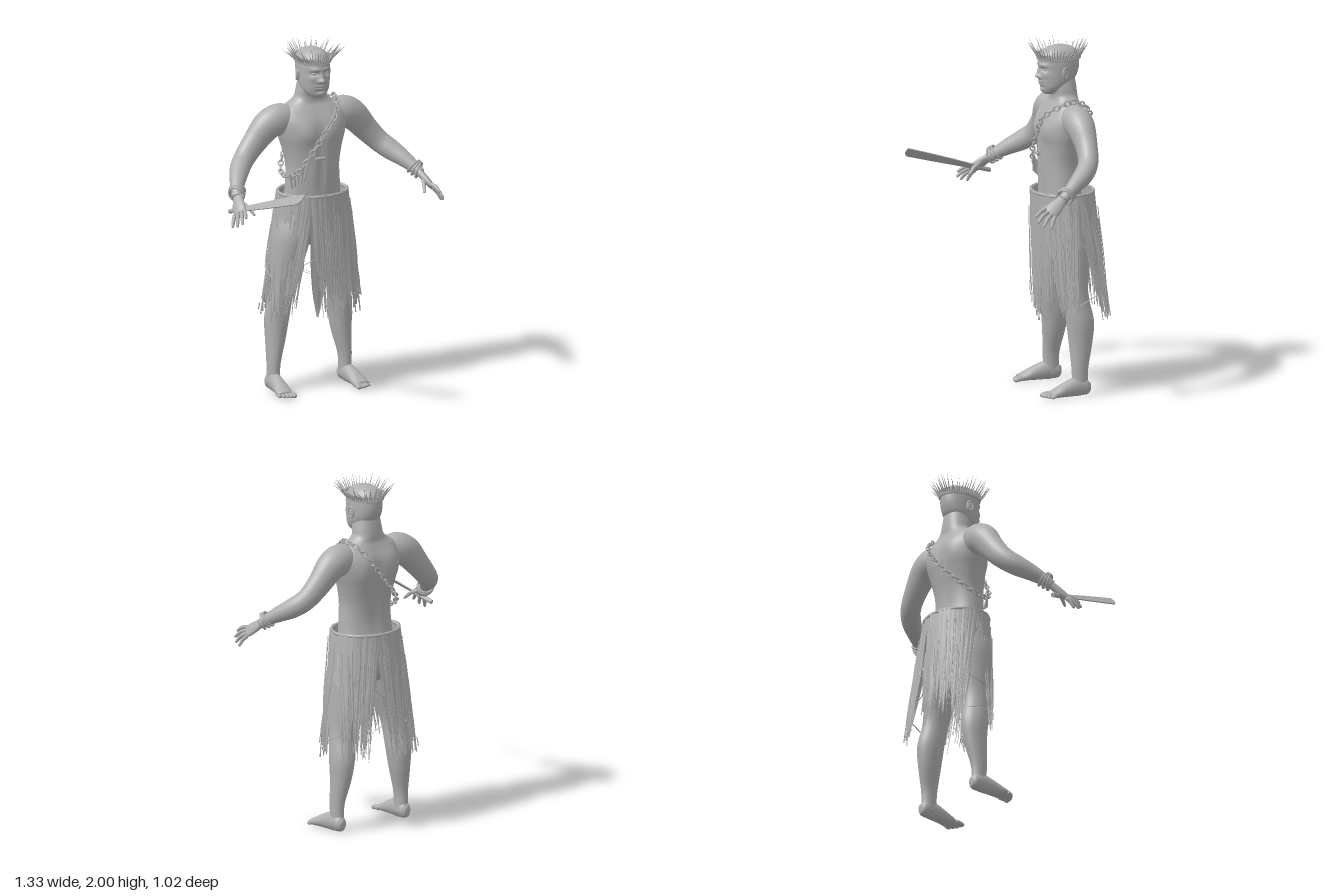
import * as THREE from 'three';
import { mergeGeometries } from 'three/addons/utils/BufferGeometryUtils.js';

const V = (x, y, z) => new THREE.Vector3(x, y, z);
const clay = new THREE.MeshStandardMaterial({ color: 0xb0b0b0, side: THREE.DoubleSide });
clay.name = 'clay grey';

let seed = 7;
const rnd = () => ((seed = (seed * 16807) % 2147483647) / 2147483647);
const range = (a, b) => a + (b - a) * rnd();

function mesh(name, geometry) {
  const m = new THREE.Mesh(geometry, clay);
  m.name = name;
  return m;
}

// Surface through rows of points
function grid(rows, closed) {
  const n = rows[0].length, pos = [], index = [];
  rows.forEach(r => r.forEach(p => pos.push(p.x, p.y, p.z)));
  for (let i = 0; i < rows.length - 1; i++)
    for (let j = 0; j < (closed ? n : n - 1); j++) {
      const a = i * n + j, b = i * n + ((j + 1) % n);
      index.push(a, b, a + n, b, b + n, a + n);
    }
  const g = new THREE.BufferGeometry();
  g.setAttribute('position', new THREE.Float32BufferAttribute(pos, 3));
  g.setIndex(index);
  g.computeVertexNormals();
  return g;
}

// Smooth body through stations [x, y, z, radiusA, radiusB]; radiusA lies along ref
function loft(st, ref, { seg = 24, rad = 16, axis = null, pow = 1, bump = null } = {}) {
  const path = new THREE.CatmullRomCurve3(st.map(s => V(s[0], s[1], s[2])), false, 'catmullrom');
  const size = new THREE.CatmullRomCurve3(st.map(s => V(s[3], s[4], 0)), false, 'catmullrom');
  const sp = v => Math.sign(v) * Math.abs(v) ** pow;
  const rows = [];
  for (let i = 0; i <= seg; i++) {
    const c = path.getPoint(i / seg), r = size.getPoint(i / seg);
    const t = axis ? axis.clone() : path.getTangent(i / seg);
    const a = ref.clone().addScaledVector(t, -ref.dot(t)).normalize();
    const b = t.clone().cross(a);
    const row = [];
    for (let j = 0; j < rad; j++) {
      const th = (j / rad) * Math.PI * 2;
      const p = c.clone().addScaledVector(a, r.x * sp(Math.cos(th))).addScaledVector(b, r.y * sp(Math.sin(th)));
      if (bump) bump(p, c);
      row.push(p);
    }
    if (i === 0) rows.push(row.map(() => c.clone()));
    rows.push(row);
    if (i === seg) rows.push(row.map(() => c.clone()));
  }
  return grid(rows, true);
}

const X = V(1, 0, 0), Y = V(0, 1, 0);
const bell = (x, y, cx, cy, wx, wy) => Math.exp(-(((x - cx) / wx) ** 2) - ((y - cy) / wy) ** 2);

function aim(geo, from, dir) { // lay a y-aligned geometry along dir
  geo.applyQuaternion(new THREE.Quaternion().setFromUnitVectors(Y, dir.clone().normalize()));
  return geo.translate(from.x, from.y, from.z);
}

function torso() {
  const st = [[.84, -.265, .09, .07], [.9, -.265, .165, .12], [1, -.265, .182, .13], [1.1, -.255, .168, .112],
    [1.2, -.248, .16, .105], [1.3, -.25, .157, .11], [1.4, -.258, .176, .122], [1.48, -.263, .2, .128],
    [1.56, -.268, .21, .118], [1.62, -.272, .185, .09], [1.655, -.275, .13, .074], [1.685, -.275, .093, .073],
    [1.73, -.268, .083, .076], [1.8, -.262, .07, .072]].map(([y, z, rx, rz]) => [0, y, z, rx, rz]);
  const bump = (p, c) => {
    const x = Math.abs(p.x), f = THREE.MathUtils.clamp((p.z - c.z) / .06, -1, 1);
    if (f > 0) // chest, breastbone, belly
      p.z += f * (.016 * bell(x, p.y, .085, 1.5, .06, .065) - .008 * bell(x, p.y, 0, 1.48, .018, .1)
        + .006 * bell(x, p.y, .04, 1.27, .03, .1) - .006 * bell(x, p.y, 0, 1.25, .01, .1));
    else // shoulder blades and spine
      p.z += f * (.012 * bell(x, p.y, .1, 1.52, .05, .09) - .014 * bell(x, p.y, 0, 1.38, .025, .2));
  };
  return mesh('torso', loft(st, X, { seg: 70, rad: 56, axis: Y, pow: .88, bump }));
}

function head() {
  const g = new THREE.Group();
  g.name = 'head';
  const st = [[1.695, -.19, .033, .032], [1.71, -.2, .055, .053], [1.74, -.213, .075, .074], [1.78, -.235, .085, .103],
    [1.83, -.245, .088, .115], [1.88, -.247, .088, .117], [1.92, -.25, .082, .108], [1.95, -.25, .06, .08],
    [1.967, -.25, .022, .03]].map(([y, z, rx, rz]) => [0, y, z, rx, rz]);
  const bump = (p, c) => {
    if (p.z < c.z + .01) return;
    const x = Math.abs(p.x), y = p.y;
    p.z += .022 * bell(x, y, 0, 1.797, .017, .014) + .013 * bell(x, y, 0, 1.825, .01, .025)
      + .006 * bell(x, y, .022, 1.793, .01, .01) - .013 * bell(x, y, .036, 1.838, .02, .012)
      + .007 * bell(x, y, .035, 1.863, .03, .01) + .009 * bell(x, y, 0, 1.767, .028, .006)
      + .008 * bell(x, y, 0, 1.751, .024, .006) + .007 * bell(x, y, 0, 1.718, .025, .012)
      - .005 * bell(x, y, 0, 1.735, .03, .006) + .006 * bell(x, y, .055, 1.81, .02, .02);
  };
  g.add(mesh('skull', loft(st, X, { seg: 90, rad: 90, axis: Y, pow: .94, bump })));
  for (const s of [-1, 1]) {
    const eye = mesh('eye', new THREE.SphereGeometry(.012, 14, 10).scale(1.2, .7, .8));
    eye.position.set(s * .036, 1.838, -.153);
    const ear = mesh('ear', new THREE.SphereGeometry(.03, 14, 10).scale(.35, 1.1, .65));
    ear.position.set(s * .09, 1.82, -.25);
    ear.rotation.y = s * .35;
    const rim = mesh('earRim', new THREE.TorusGeometry(.022, .005, 6, 18).scale(.75, 1.3, 1));
    rim.position.set(s * .098, 1.822, -.25);
    rim.rotation.y = Math.PI / 2 + s * .35;
    g.add(eye, ear, rim);
  }
  return g;
}

function crown() {
  const parts = [], n = 54;
  for (let i = 0; i < n; i++) {
    const a = (i / n) * Math.PI * 2, c = Math.cos(a), s = Math.sin(a);
    const base = V(.094 * c, 1.9, -.247 + .122 * s), len = range(.06, .115);
    const dir = V(c * range(.5, 1.05), range(.75, 1.1), s * range(.35, .8)).normalize();
    parts.push(aim(new THREE.ConeGeometry(.0045, len, 5).translate(0, len / 2, 0), base, dir));
    parts.push(aim(new THREE.CylinderGeometry(.005, .005, .03, 6), base.clone().add(V(.003 * c, .008, .003 * s)), V(c * .2, 1, s * .2)));
  }
  for (const y of [1.892, 1.903])
    parts.push(new THREE.TorusGeometry(1, .055, 6, 48).rotateX(Math.PI / 2).scale(.092, .1, .121).translate(0, y, -.247));
  return mesh('spikedCrown', mergeGeometries(parts));
}

function arm(s) {
  const g = new THREE.Group();
  g.name = s > 0 ? 'leftArm' : 'rightArm';
  const S = list => list.map(([x, ...rest]) => [s * x, ...rest]);
  const line = (name, st, ref, o) => g.add(mesh(name, loft(S(st), V(s * ref[0], ref[1], ref[2]), o)));
  line('armBody', [[.1, 1.575, -.272, .06, .06], [.19, 1.568, -.275, .08, .09], [.265, 1.54, -.28, .078, .086],
    [.345, 1.455, -.28, .062, .072], [.42, 1.375, -.262, .056, .062], [.475, 1.325, -.215, .055, .058],
    [.525, 1.28, -.145, .044, .046], [.562, 1.238, -.082, .031, .033], [.578, 1.212, -.05, .03, .028]],
  [0, 0, 1], { seg: 44, rad: 24 });
  const wide = [.5, -.5, -.6];
  line('palm', [[.566, 1.232, -.07, .025, .02], [.58, 1.205, -.035, .032, .021], [.595, 1.175, .005, .042, .02],
    [.606, 1.153, .036, .04, .015], [.609, 1.147, .044, .025, .008]], wide, { seg: 16 });
  // knuckle to tip
  const fingers = [[[.588, 1.172, .052], [.612, 1.138, .126]], [[.602, 1.158, .046], [.632, 1.105, .122]],
    [[.616, 1.145, .034], [.649, 1.083, .092]], [[.627, 1.133, .016], [.658, 1.072, .05]],
    [[.572, 1.195, -.005], [.535, 1.135, .083]]];
  fingers.forEach(([a, b], i) => {
    const m = a.map((v, k) => (v + b[k]) / 2);
    m[1] += .01;
    line(i < 4 ? 'finger' : 'thumb', [[...a, .011, .011], [...m, .011, .011],
      [...b.map((v, k) => v * .85 + m[k] * .15), .008, .008], [...b, .003, .003]], wide, { seg: 10, rad: 8 });
  });
  for (let i = 0; i < 3; i++) { // bangles
    const ring = mesh('bracelet', new THREE.TorusGeometry(.044, .006, 8, 28));
    ring.position.set(s * (.556 + i * .009), 1.246 - i * .009, -.09 + i * .014);
    ring.lookAt(ring.position.clone().add(V(s * (.5 + .15 * i), -.75 + .2 * i, .75)));
    g.add(ring);
  }
  return g;
}

function leg(s) {
  const g = new THREE.Group();
  g.name = s > 0 ? 'leftLeg' : 'rightLeg';
  const add = (name, st, o) => g.add(mesh(name, loft(st.map(([x, ...r]) => [s * x, ...r]), X, o)));
  add('legBody', [[.227, .03, -.29, .036, .05], [.226, .09, -.287, .035, .046], [.223, .17, -.288, .039, .05],
    [.207, .3, -.298, .056, .068], [.198, .42, -.298, .068, .08], [.185, .54, -.278, .066, .077], [.172, .62, -.27, .073, .082],
    [.15, .74, -.268, .092, .102], [.125, .9, -.26, .108, .122], [.105, 1.04, -.262, .09, .11]], { seg: 50, rad: 26, axis: Y });
  add('foot', [[.228, .045, -.346, .018, .026], [.228, .046, -.325, .034, .043], [.229, .055, -.275, .038, .055],
    [.234, .043, -.2, .042, .043], [.239, .028, -.14, .048, .027], [.241, .019, -.1, .045, .017]], { seg: 26, rad: 20 });
  for (let i = 0; i < 5; i++) {
    const x = .203 + i * .0195, r = i ? .0105 : .014, tip = -.06 - i * i * .0022;
    add('toe', [[x, .02, -.12, r, r], [x, .02, tip - .03, r, r], [x, .014, tip - .008, r, r * .9], [x, .011, tip, r * .5, r * .5]],
      { seg: 10, rad: 10 });
  }
  return g;
}

function skirt() {
  const g = new THREE.Group();
  g.name = 'strawSkirt';
  const gaps = [[-.1, .38], [Math.PI + .1, .38], [1.95, .3], [-1.35, .22]]; // angle and how far strands part
  const point = (a, y, t, k) => {
    let b = a;
    for (const [at, push] of gaps) {
      const d = Math.atan2(Math.sin(a - at), Math.cos(a - at));
      b += Math.sign(d) * push * t * Math.exp(-((d / .45) ** 2));
    }
    const f = (1.14 - y) / .7;
    return V(.008 + .012 * f + (.203 + .08 * f) * k * Math.cos(b), y, -.265 - .045 * f + (.172 + .022 * f) * k * Math.sin(b));
  };
  const strand = (a, w, top, end, k) => {
    const rows = [], ph = range(0, 6), amp = range(.01, .05), n = 12;
    for (let i = 0; i <= n; i++) {
      const t = i / n, y = top + (end - top) * t;
      const q = (1.14 - y) / .7, half = (w / .2) * (1 - .8 * t ** 2.5) / 2;
      const kk = k + .025 * Math.sin(t * 7 + ph) * t;
      const c = amp * Math.sin(t * 6 + ph) * t;
      rows.push([-1, 0, 1].map(j => { // parting is taken at the strand's centre so it keeps its width
        const p = point(a + c, y, q, kk + (j ? 0 : .025));
        const side = point(a + c + .02, y, q, kk).sub(point(a + c - .02, y, q, kk)).normalize();
        return p.addScaledVector(side, j * half * .2);
      }));
    }
    return grid(rows, false);
  };
  const wide = [], thin = [], n = 130;
  for (let i = 0; i < n; i++) {
    const a = (i / n) * Math.PI * 2;
    wide.push(strand(a, range(.02, .034), 1.145, range(.44, .66), range(.95, 1.02)));
    thin.push(strand(a + range(-.03, .03), range(.005, .01), range(.85, 1.1), range(.41, .55), range(.97, 1.07)));
  }
  g.add(mesh('broadStrands', mergeGeometries(wide)), mesh('thinStrands', mergeGeometries(thin)));
  g.add(mesh('waistRoll', new THREE.TorusGeometry(1, .05, 8, 64).rotateX(Math.PI / 2).scale(.2, .2, .17).translate(.008, 1.137, -.265)));
  // pointed front cloth
  const cloth = [];
  for (let i = 0; i <= 12; i++) {
    const t = i / 12, w = .05 * (1 - t ** 4) + .004;
    cloth.push([1, .5, 0, -.5, -1].map(j => V(-.02 + j * w, 1.08 - .65 * t, -.125 - .02 * t + .008 * Math.cos(j * 5))));
  }
  g.add(mesh('frontCloth', grid(cloth.map(r => r.reverse()).reverse(), false)));
  return g;
}

function chain() {
  const g = new THREE.Group();
  g.name = 'shoulderChain';
  const path = new THREE.CatmullRomCurve3([V(.15, 1.665, -.275), V(.12, 1.63, -.36), V(.07, 1.55, -.41), V(-.04, 1.42, -.405),
    V(-.13, 1.32, -.365), V(-.178, 1.25, -.27), V(-.15, 1.26, -.165), V(-.08, 1.37, -.122), V(0, 1.48, -.117),
    V(.08, 1.58, -.128), V(.13, 1.64, -.2)], true);
  const n = Math.round(path.getLength() / .033), parts = [];
  for (let i = 0; i < n; i++) {
    const p = path.getPointAt(i / n), t = path.getTangentAt(i / n);
    const side = t.clone().cross(p.clone().sub(V(0, p.y, -.265))).normalize();
    const m = new THREE.Matrix4().makeBasis(t, side, t.clone().cross(side)).setPosition(p);
    parts.push(new THREE.TorusGeometry(.0135, .0045, 6, 14).scale(1.4, 1, 1).rotateX((i % 2) * Math.PI / 2).applyMatrix4(m));
  }
  g.add(mesh('links', mergeGeometries(parts)));
  // charms hanging from the chain
  const rod = (name, r, len, from, dir) => g.add(mesh(name, aim(new THREE.CylinderGeometry(r, r, len, 8), from, dir)));
  rod('charmBar', .01, .06, V(-.015, 1.352, -.122), X);
  rod('charmCord', .003, .1, V(0, 1.405, -.12), Y);
  for (let i = 0; i < 5; i++) rod('tassel', .006, .09, V(-.165 + i * .016, 1.225 + i * .012, -.19 + i * .014), V(.1 * (i - 2), 1, .1));
  return g;
}

function machete() {
  const g = new THREE.Group();
  g.name = 'machete';
  const sh = new THREE.Shape();
  sh.moveTo(0, -.016);
  sh.quadraticCurveTo(.25, -.03, .46, -.034);
  sh.quadraticCurveTo(.5, -.03, .505, .03);
  sh.quadraticCurveTo(.25, .03, 0, .016);
  const blade = mesh('blade', new THREE.ExtrudeGeometry(sh, { depth: .006, bevelEnabled: false, curveSegments: 12 }).translate(0, 0, -.003));
  const grip = mesh('grip', new THREE.CylinderGeometry(.013, .015, .13, 12).rotateZ(Math.PI / 2).translate(-.055, 0, 0));
  g.add(blade, grip);
  const d = V(.135, .15, .46).normalize(), w = V(.62, .68, -.39);
  w.addScaledVector(d, -w.dot(d)).normalize();
  g.quaternion.setFromRotationMatrix(new THREE.Matrix4().makeBasis(d, w, d.clone().cross(w)));
  g.position.set(-.582, 1.17, .04);
  return g;
}

export function createModel() {
  const model = new THREE.Group();
  model.name = 'warrior';
  model.add(torso(), head(), crown(), skirt(), chain(), machete());
  for (const s of [-1, 1]) model.add(arm(s), leg(s));
  return model;
}
